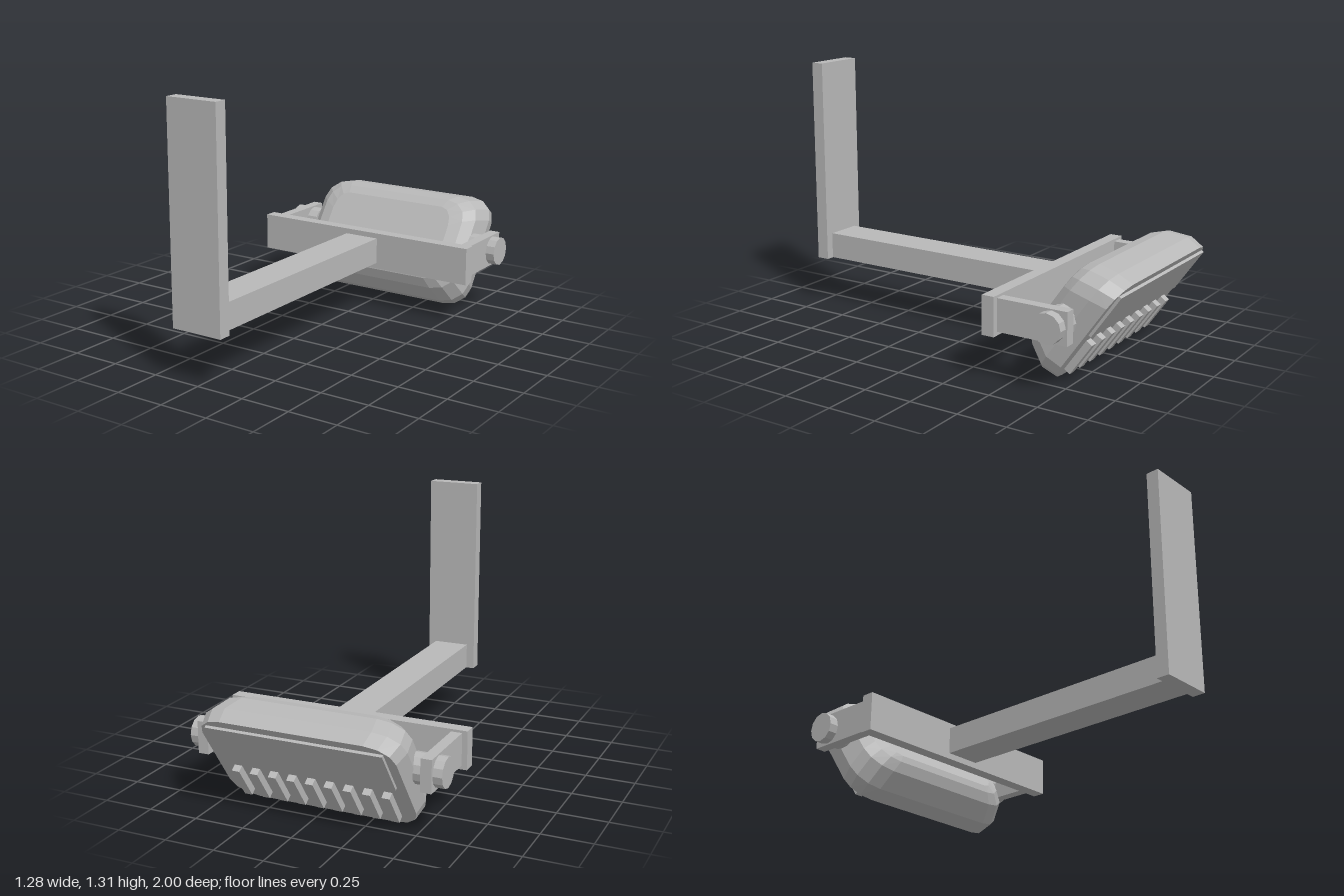
import * as THREE from 'three';

const metal = new THREE.MeshStandardMaterial({ color: 0xb8b8b8 });
metal.name = 'grey metal';
metal.flatShading = true;

// Box given by its extents on each axis
function box(name, [x0, x1], [y0, y1], [z0, z1]) {
  const mesh = new THREE.Mesh(new THREE.BoxGeometry(x1 - x0, y1 - y0, z1 - z0), metal);
  mesh.position.set((x0 + x1) / 2, (y0 + y1) / 2, (z0 + z1) / 2);
  mesh.name = name;
  return mesh;
}

// Rounded rectangle ring, counter-clockwise seen from +z
function ring({ z, w, y0, y1, rx, ry }, segments = 3) {
  const points = [];
  const corners = [[w - rx, y1 - ry], [rx - w, y1 - ry], [rx - w, y0 + ry], [w - rx, y0 + ry]];
  corners.forEach(([cx, cy], q) => {
    for (let i = 0; i <= segments; i++) {
      const a = (q + i / segments) * Math.PI / 2;
      points.push([cx + rx * Math.cos(a), cy + ry * Math.sin(a), z]);
    }
  });
  return points;
}

// Skin through rings running toward +z, capped at both ends
function loft(sections) {
  const rings = sections.map(s => ring(s));
  const n = rings[0].length;
  const index = [];
  for (let k = 0; k < rings.length - 1; k++) {
    for (let i = 0; i < n; i++) {
      const a = k * n + i, b = k * n + (i + 1) % n;
      index.push(a, b, b + n, a, b + n, a + n);
    }
  }
  const last = (rings.length - 1) * n;
  for (let i = 1; i < n - 1; i++) {
    index.push(0, i + 1, i);
    index.push(last, last + i, last + i + 1);
  }
  const indexed = new THREE.BufferGeometry();
  indexed.setAttribute('position', new THREE.Float32BufferAttribute(rings.flat(2), 3));
  indexed.setIndex(index);
  const geometry = indexed.toNonIndexed();
  geometry.computeVertexNormals();
  return geometry;
}

// Lamp head, built upright with its lit face at z = 0 looking to -z, then tilted down
function createHead() {
  const head = new THREE.Group();
  head.name = 'lampHead';
  const housing = new THREE.Mesh(loft([
    { z: 0, w: 0.485, y0: -0.303, y1: 0.303, rx: 0.13, ry: 0.11 },
    { z: 0.08, w: 0.505, y0: -0.314, y1: 0.297, rx: 0.14, ry: 0.12 },
    { z: 0.182, w: 0.48, y0: -0.284, y1: 0.25, rx: 0.14, ry: 0.12 },
    { z: 0.227, w: 0.43, y0: -0.25, y1: 0.205, rx: 0.12, ry: 0.11 },
    { z: 0.244, w: 0.365, y0: -0.218, y1: 0.155, rx: 0.07, ry: 0.1 },
  ]), metal);
  housing.name = 'housing';
  head.add(housing);

  head.add(box('lens', [-0.44, 0.44], [0.005, 0.26], [-0.014, 0.005]));

  // Cooling fins under the lens
  const count = 9;
  for (let i = 0; i < count; i++) {
    const x = (i - (count - 1) / 2) * 0.096;
    head.add(box('coolingFin', [x - 0.02, x + 0.02], [-0.241, -0.046], [-0.035, 0.005]));
  }
  head.position.set(0, 0.2525, -0.825);
  head.rotation.x = -0.615;
  return head;
}

export function createModel() {
  const model = new THREE.Group();
  model.name = 'floodlight';

  // Mount and arm
  model.add(box('wallPlate', [-0.136, 0.136], [0.255, 1.312], [0.935, 1]));
  model.add(box('arm', [-0.094, 0.094], [0.256, 0.39], [-0.38, 0.935]));

  // Yoke holding the head
  model.add(box('yokeBar', [-0.622, 0.622], [0.226, 0.417], [-0.442, -0.378]));
  for (const side of [-1, 1]) {
    const bracket = box('yokeSide', [0.541, 0.595], [0.245, 0.405], [-0.806, -0.442]);
    bracket.position.x *= side;
    model.add(bracket);
    const bolt = new THREE.Mesh(new THREE.CylinderGeometry(0.074, 0.074, 0.16, 12), metal);
    bolt.rotation.z = Math.PI / 2;
    bolt.position.set(side * 0.561, 0.325, -0.725);
    bolt.name = 'pivotBolt';
    model.add(bolt);
  }

  model.add(createHead());
  return model;
}
